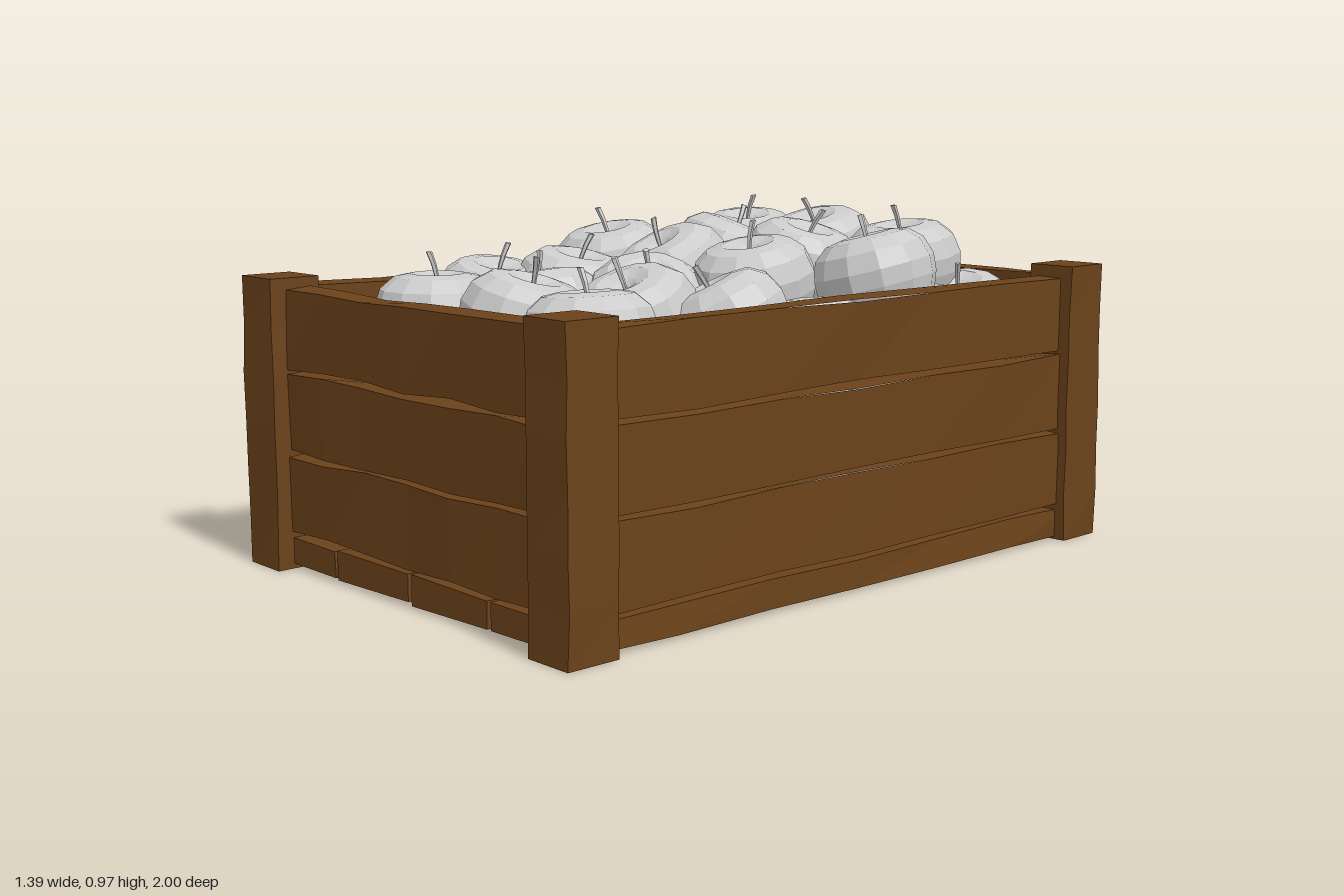
import * as THREE from 'three';

const wood = new THREE.MeshStandardMaterial({ color: 0x6b421a, flatShading: true });
const grey = new THREE.MeshStandardMaterial({ color: 0xcccccc, flatShading: true });

let seed = 7;
function rnd() {
  seed = (seed * 16807) % 2147483647;
  return seed / 2147483647 * 2 - 1;
}

// Rough-cut board: a box divided along its longest side, with slightly uneven edges
function board(name, size, pos, rough = 0.006) {
  const long = Math.max(...size);
  const segs = size.map(s => (s === long ? 6 : 1));
  const geo = new THREE.BoxGeometry(...size, ...segs);
  const p = geo.attributes.position;
  const moved = new Map();
  for (let i = 0; i < p.count; i++) {
    const c = [p.getX(i), p.getY(i), p.getZ(i)];
    const key = c.map(v => v.toFixed(3)).join();
    if (!moved.has(key)) {
      moved.set(key, c.map((v, a) => v + (size[a] === long ? 0 : rnd() * rough)));
    }
    p.setXYZ(i, ...moved.get(key));
  }
  geo.computeVertexNormals();
  const mesh = new THREE.Mesh(geo, wood);
  mesh.name = name;
  mesh.position.set(...pos);
  return mesh;
}

// Apple body, profile from the bottom dimple to the stem dimple
const R = 0.172;
const bodyGeo = new THREE.LatheGeometry([
  [0, -0.7], [0.25, -0.8], [0.58, -0.7], [0.84, -0.4], [0.98, 0.0], [1, 0.28],
  [0.9, 0.58], [0.68, 0.77], [0.42, 0.82], [0.2, 0.74], [0, 0.6],
].map(([x, y]) => new THREE.Vector2(x * R, y * R)), 12);

// Stem: a thin bent rod, flared at its tip
const stemGeo = new THREE.CylinderGeometry(0.009, 0.005, 0.1, 5, 3);
{
  const p = stemGeo.attributes.position;
  for (let i = 0; i < p.count; i++) {
    const t = p.getY(i) / 0.1 + 0.5;
    p.setX(i, p.getX(i) + 0.022 * t * t);
  }
  stemGeo.translate(0, R * 0.6 + 0.045, 0);
  stemGeo.computeVertexNormals();
}

// dx, dz: how far the stem leans away from the middle
function apple(x, y, z, dx = rnd() * 0.04, dz = rnd() * 0.04) {
  const g = new THREE.Group();
  g.name = 'apple';
  const body = new THREE.Mesh(bodyGeo, grey);
  body.name = 'appleBody';
  const stem = new THREE.Mesh(stemGeo, grey);
  stem.name = 'appleStem';
  g.add(body, stem);
  g.position.set(x, y, z);
  const up = new THREE.Vector3(0, 1, 0);
  g.quaternion.setFromUnitVectors(up, new THREE.Vector3(dx, 0.14, dz).normalize());
  g.rotateY(rnd() * Math.PI);
  return g;
}

export function createModel() {
  seed = 7;
  const model = new THREE.Group();
  model.name = 'appleCrate';

  // Crate
  const crate = new THREE.Group();
  crate.name = 'crate';
  for (const sx of [-1, 1]) {
    for (const sz of [-1, 1]) {
      crate.add(board('cornerPost', [0.146, 0.795, 0.15], [sx * 0.618, 0.401, sz * 0.923], 0.003));
    }
  }
  for (const y of [0.212, 0.436, 0.662]) {
    for (const s of [-1, 1]) {
      crate.add(board('sidePlank', [0.08, 0.212, 1.72], [s * 0.618, y, 0]));
      crate.add(board('endPlank', [1.12, 0.212, 0.08], [0, y, s * 0.914]));
    }
  }
  for (let i = 0; i < 4; i++) {
    crate.add(board('floorPlank', [0.315, 0.075, 1.9], [-0.498 + i * 0.332, 0.052, 0], 0.005));
  }
  model.add(crate);

  // Hidden layers filling the crate
  const apples = new THREE.Group();
  apples.name = 'apples';
  for (const y of [0.245, 0.49]) {
    for (let i = 0; i < 3; i++) {
      for (let j = 0; j < 5; j++) {
        apples.add(apple((i - 1) * 0.39 + rnd() * 0.01, y + rnd() * 0.012, (j - 2) * 0.343, rnd() * 0.02, rnd() * 0.02));
      }
    }
  }

  // Half-buried apples between the layers: x, y, z
  [
    [-0.4, 0.65, -0.7], [-0.08, 0.65, -0.71], [0.24, 0.64, -0.7], [0.41, 0.62, -0.7],
    [0.4, 0.6, -0.08], [-0.41, 0.6, -0.14], [-0.41, 0.58, 0.08], [0.4, 0.57, 0.58],
    [-0.41, 0.57, 0.69],
  ].forEach(a => apples.add(apple(...a)));

  // Top layer, heaped towards the back: x, y, z, stem lean x, stem lean z
  [
    [-0.4, 0.77, -0.64, 0.015, 0.02], [-0.085, 0.785, -0.64, 0, 0.04], [0.245, 0.77, -0.64, 0, 0.02],
    [-0.24, 0.765, -0.37, 0.03, -0.05], [0.09, 0.77, -0.36, 0.04, -0.01], [0.385, 0.76, -0.37, -0.03, 0.02],
    [-0.41, 0.755, -0.09, 0, 0.03], [-0.1, 0.75, -0.06, -0.02, 0.07], [0.245, 0.75, -0.03, 0, 0.03],
    [-0.28, 0.7, 0.18, 0.03, -0.01], [0.06, 0.69, 0.2, 0.06, 0.04], [0.4, 0.675, 0.21, -0.05, 0.05],
    [-0.41, 0.675, 0.36, 0.03, 0], [-0.14, 0.665, 0.38, -0.04, 0], [0.22, 0.685, 0.37, 0, 0.06],
    [-0.28, 0.67, 0.645, 0, 0], [0.06, 0.685, 0.625, 0.03, -0.02], [0.38, 0.675, 0.665, -0.01, 0],
  ].forEach(a => apples.add(apple(...a)));
  model.add(apples);
  return model;
}
